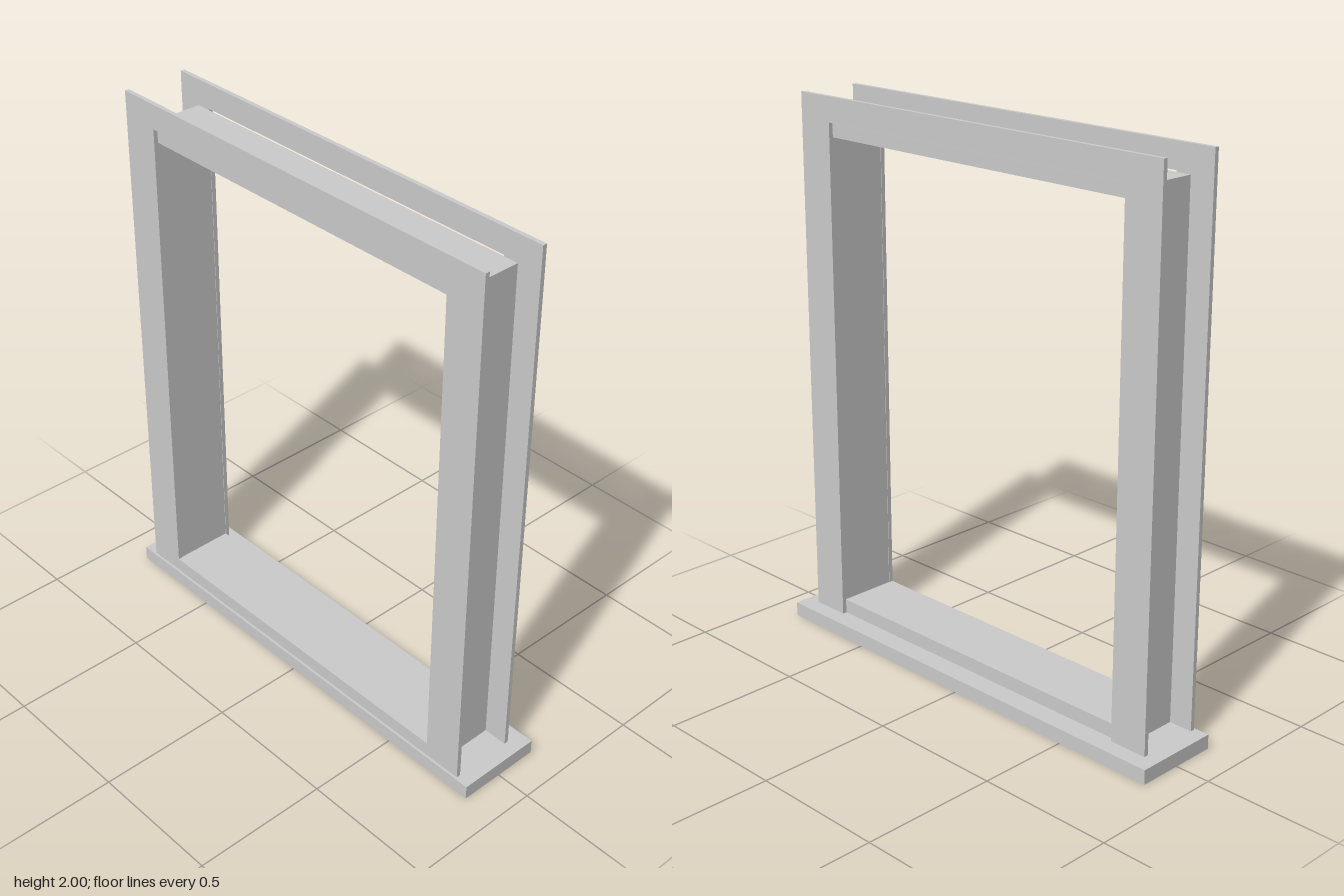
import * as THREE from 'three';

const grey = new THREE.MeshStandardMaterial({ color: 0xcccccc, flatShading: true });

// Box given by its min and max corners
function box(name, [x0, y0, z0], [x1, y1, z1]) {
  const mesh = new THREE.Mesh(new THREE.BoxGeometry(x1 - x0, y1 - y0, z1 - z0), grey);
  mesh.name = name;
  mesh.position.set((x0 + x1) / 2, (y0 + y1) / 2, (z0 + z1) / 2);
  return mesh;
}

// Flat trim board cut from an outline, with an optional hole
function board(name, outline, hole, z0, z1) {
  const toPoints = (list) => list.map(([x, y]) => new THREE.Vector2(x, y));
  const shape = new THREE.Shape(toPoints(outline));
  if (hole) shape.holes.push(new THREE.Path(toPoints(hole)));
  const geometry = new THREE.ExtrudeGeometry(shape, { depth: z1 - z0, bevelEnabled: false });
  const mesh = new THREE.Mesh(geometry, grey);
  mesh.name = name;
  mesh.position.z = z0;
  return mesh;
}

export function createModel() {
  const group = new THREE.Group();
  group.name = 'windowFrame';

  const sillTop = 0.053, railTop = 0.106;      // outer sill and bottom rail heights
  const headBottom = 1.857, headTop = 1.905;   // head jamb
  const jambIn = 0.674, jambOut = 0.727;
  const back = -0.083, front = 0.136;          // depth of the jambs
  const trimIn = 0.672, trimOut = 0.816, trimTop = 1.91, trim = 0.016;

  // Wide sill at the base
  group.add(box('sill', [-0.87, 0, -0.161], [0.87, sillTop, 0.161]));

  // Inner box: bottom rail, head and two side jambs
  group.add(box('bottomRail', [-jambIn, sillTop, back], [jambIn, railTop, front]));
  group.add(box('headJamb', [-jambIn, headBottom, back], [jambIn, headTop, front]));
  group.add(box('leftJamb', [jambIn, sillTop, back], [jambOut, headTop, front]));
  group.add(box('rightJamb', [-jambOut, sillTop, back], [-jambIn, headTop, front]));

  // Front casing: closed ring of trim
  group.add(board('frontCasing',
    [[-trimOut, sillTop], [trimOut, sillTop], [trimOut, 2], [-trimOut, 2]],
    [[-trimIn, railTop], [-trimIn, trimTop], [trimIn, trimTop], [trimIn, railTop]],
    front, front + trim));

  // Back casing: two legs and a top, open at the sill
  group.add(board('backCasing',
    [[-trimOut, sillTop], [-trimIn, sillTop], [-trimIn, trimTop], [trimIn, trimTop],
      [trimIn, sillTop], [trimOut, sillTop], [trimOut, 2], [-trimOut, 2]],
    null, back - trim, back));

  return group;
}
